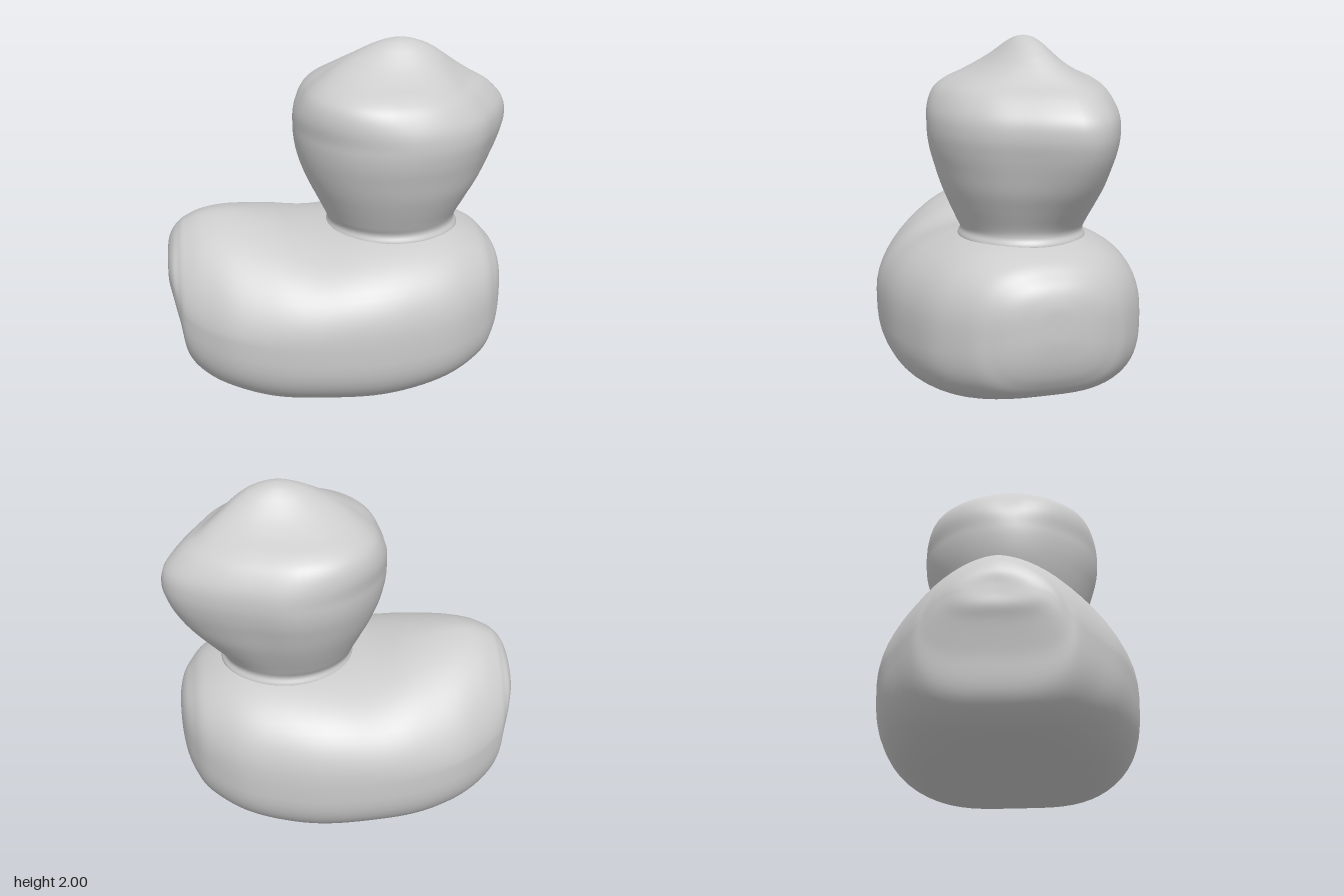
import * as THREE from 'three';

const SIDES = 64;
const { lerp, smoothstep } = THREE.MathUtils;

// Smoothly interpolate a table of cross-section parameters
function sampleRows(rows, steps) {
  const curve = new THREE.CubicInterpolant(rows.map((_, i) => i), rows.flat(), rows[0].length);
  const out = [];
  for (let i = 0; i <= steps; i++) {
    out.push(Array.from(curve.evaluate((i / steps) * (rows.length - 1))));
  }
  return out;
}

// Skin a list of closed rings and cap both ends
function loft(rings) {
  const pos = [], index = [];
  rings.forEach(ring => ring.forEach(p => pos.push(p.x, p.y, p.z)));
  for (let i = 0; i < rings.length - 1; i++) {
    for (let j = 0; j < SIDES; j++) {
      const k = (j + 1) % SIDES;
      const a = i * SIDES + j, b = i * SIDES + k;
      const c = b + SIDES, d = a + SIDES;
      index.push(a, d, c, a, c, b);
    }
  }
  [rings[0], rings[rings.length - 1]].forEach((ring, end) => {
    const m = ring.reduce((s, p) => s.add(p), new THREE.Vector3()).divideScalar(SIDES);
    const centre = pos.length / 3, base = end ? (rings.length - 1) * SIDES : 0;
    pos.push(m.x, m.y, m.z);
    for (let j = 0; j < SIDES; j++) {
      const a = base + j, b = base + (j + 1) % SIDES;
      if (end) index.push(centre, b, a);
      else index.push(centre, a, b);
    }
  });
  const geo = new THREE.BufferGeometry();
  geo.setAttribute('position', new THREE.Float32BufferAttribute(pos, 3));
  geo.setIndex(index);
  geo.computeVertexNormals();
  return geo;
}

// Body: x, bottom, top, half width, height of the widest point
function bodyGeometry() {
  const rows = [
    [-0.985, 0.70, 0.75, 0.01, 0.725],
    [-0.985, 0.63, 0.82, 0.18, 0.72],
    [-0.96, 0.55, 0.885, 0.29, 0.68],
    [-0.925, 0.40, 0.93, 0.365, 0.60],
    [-0.885, 0.20, 0.962, 0.43, 0.54],
    [-0.78, 0.095, 1.005, 0.52, 0.50],
    [-0.62, 0.035, 1.015, 0.62, 0.48],
    [-0.40, -0.015, 0.98, 0.685, 0.46],
    [-0.15, -0.025, 0.925, 0.718, 0.45],
    [0.15, -0.03, 0.945, 0.718, 0.45],
    [0.40, -0.005, 0.955, 0.67, 0.45],
    [0.62, 0.05, 0.93, 0.59, 0.46],
    [0.80, 0.125, 0.86, 0.45, 0.49],
    [0.88, 0.21, 0.79, 0.335, 0.51],
    [0.925, 0.31, 0.73, 0.23, 0.53],
    [0.948, 0.43, 0.65, 0.11, 0.54],
    [0.952, 0.53, 0.57, 0.01, 0.55],
  ];
  return loft(sampleRows(rows, 96).map(([x, low, high, w, mid]) => {
    const ring = [];
    // The back is peaked over the tail, the belly is flatter than the shoulders
    const topPower = lerp(1.7, 2.4, smoothstep(x, -0.7, 0.1));
    for (let j = 0; j < SIDES; j++) {
      const t = (j / SIDES) * Math.PI * 2;
      const cos = Math.cos(t), sin = Math.sin(t);
      const e = 2 / (cos > 0 ? topPower : 3);
      const c = Math.sign(cos) * Math.abs(cos) ** e;
      const z = -w * Math.sign(sin) * Math.abs(sin) ** e;
      let y = mid + c * (c > 0 ? high - mid : mid - low);
      // Hollow underneath, with a raised middle
      if (c < 0) {
        const r2 = (x / 0.5) ** 2 + (z / 0.32) ** 2;
        y -= 0.1 * c * (Math.exp(-r2 * 1.5) - 0.6 * Math.exp(-r2 * 9));
      }
      ring.push(new THREE.Vector3(x, y, z));
    }
    return ring;
  }));
}

// Head: height, back, front, half depth, share of the beaked outline
function headGeometry() {
  const rows = [
    [0.82, -0.03, 0.64, 0.30, 0],
    [0.90, -0.07, 0.695, 0.35, 0],
    [0.95, -0.06, 0.68, 0.337, 0],
    [1.00, -0.08, 0.70, 0.36, 0.15],
    [1.10, -0.13, 0.78, 0.41, 0.45],
    [1.20, -0.18, 0.86, 0.455, 0.7],
    [1.30, -0.22, 0.92, 0.49, 0.9],
    [1.40, -0.245, 0.965, 0.52, 1],
    [1.50, -0.255, 0.988, 0.533, 1],
    [1.60, -0.245, 0.97, 0.523, 1],
    [1.70, -0.195, 0.88, 0.475, 1],
    [1.76, -0.14, 0.785, 0.405, 1],
    [1.81, -0.075, 0.715, 0.30, 0.85],
    [1.86, -0.005, 0.65, 0.215, 0.6],
    [1.91, 0.08, 0.585, 0.15, 0.35],
    [1.96, 0.18, 0.505, 0.092, 0.15],
    [1.99, 0.27, 0.42, 0.048, 0],
    [2.00, 0.34, 0.36, 0.008, 0],
  ];
  // Plan outline, with the beak turned a little to the model's back
  const outline = new THREE.CatmullRomCurve3([
    [0.985, -0.17], [0.945, -0.02], [0.86, 0.15], [0.75, 0.33], [0.57, 0.46], [0.30, 0.515],
    [0.02, 0.435], [-0.185, 0.23], [-0.255, 0], [-0.19, -0.25], [0.02, -0.46], [0.30, -0.54],
    [0.52, -0.49], [0.75, -0.40], [0.93, -0.28],
  ].map(([x, z]) => new THREE.Vector3(x, 0, z)), true, 'centripetal').getSpacedPoints(SIDES);

  return loft(sampleRows(rows, 90).map(([y, back, front, depth, beak]) => {
    const ring = [];
    const half = (front - back) / 2, mid = (front + back) / 2;
    // Fuller corners at the back of the crown
    const fullness = 0.09 * smoothstep(y, 1.5, 1.75) * (1 - smoothstep(y, 1.8, 1.95));
    for (let j = 0; j < SIDES; j++) {
      const u = (outline[j].x - 0.365) / 0.62, v = outline[j].z / 0.53;
      const t = Math.atan2(v, u);
      const grow = 1 + (u < 0 ? fullness * Math.abs(Math.sin(2 * t)) : 0);
      ring.push(new THREE.Vector3(
        mid + half * grow * lerp(Math.cos(t), u, beak),
        y,
        depth * grow * lerp(Math.sin(t), v, beak)));
    }
    return ring;
  }));
}

export function createModel() {
  const grey = new THREE.MeshStandardMaterial({ color: 0xcccccc });
  grey.name = 'plain grey';
  const group = new THREE.Group();
  group.name = 'bathDuck';
  const parts = { body: bodyGeometry(), head: headGeometry() };
  for (const [name, geometry] of Object.entries(parts)) {
    const mesh = new THREE.Mesh(geometry, grey);
    mesh.name = name;
    group.add(mesh);
  }
  return group;
}
